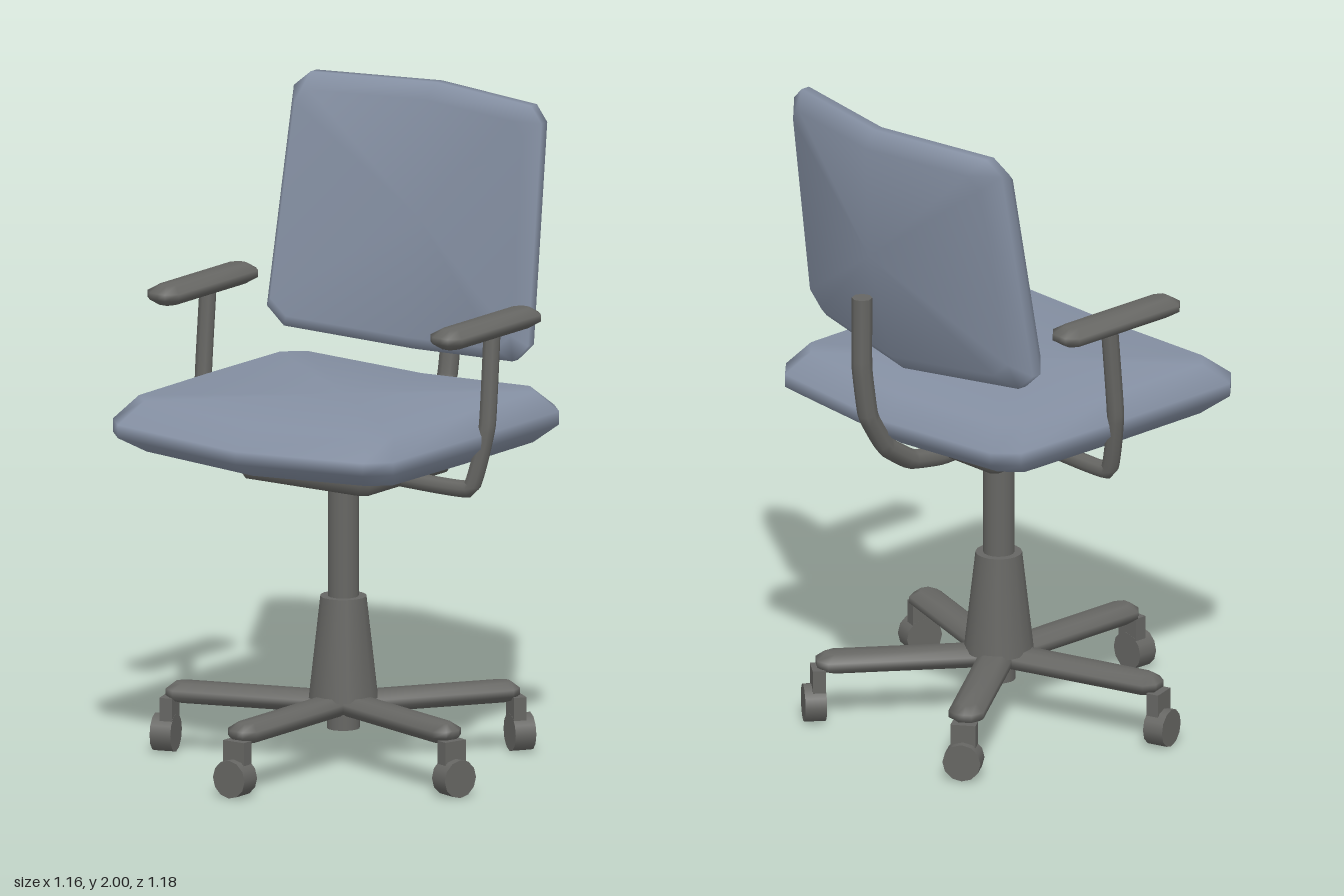
import * as THREE from 'three';

const fabric = new THREE.MeshStandardMaterial({ color: 0x8590a3 });
const metal = new THREE.MeshStandardMaterial({ color: 0x666663 });

function part(name, geometry, material, parent, x = 0, y = 0, z = 0) {
  const mesh = new THREE.Mesh(geometry, material);
  mesh.name = name;
  mesh.position.set(x, y, z);
  parent.add(mesh);
  return mesh;
}

// Stack of scaled outlines [x, z] along y, closed by fans; layer = [y, scaleX, scaleZ].
// bend(x, y, z) moves every point; caps = height added at the bottom and top centres.
function padGeometry(outline, layers, bend = (x, y, z) => [x, y, z], caps = [0, 0]) {
  const n = outline.length, pos = [], index = [];
  for (const [y, sx, sz] of layers)
    for (const [x, z] of outline) pos.push(...bend(x * sx, y, z * sz));
  const last = layers.length - 1;
  pos.push(...bend(0, layers[0][0] + caps[0], 0), ...bend(0, layers[last][0] + caps[1], 0));
  const bottom = n * layers.length, top = bottom + 1;
  for (let j = 0; j < n; j++) {
    const k = (j + 1) % n;
    for (let i = 0; i < last; i++) {
      const a = i * n + j, b = i * n + k;
      index.push(a, b, b + n, a, b + n, a + n);
    }
    index.push(bottom, k, j, top, last * n + j, last * n + k);
  }
  const g = new THREE.BufferGeometry();
  g.setAttribute('position', new THREE.Float32BufferAttribute(pos, 3));
  g.setIndex(index);
  g.computeVertexNormals();
  return g;
}

// Mirror the +x half of an outline (front to back) with points on the centre line.
const mirrored = (front, half, back) => [
  [0, front], ...half, [0, back], ...[...half].reverse().map(([x, z]) => [-x, z])];

// Bar or plate with cut corners and bevelled edges, centred on its own origin.
function barGeometry(w, h, d, cut, bevel) {
  const x = w / 2, z = d / 2;
  const outline = mirrored(z, [[x - cut, z], [x, z - cut], [x, cut - z], [x - cut, -z]], -z);
  const sx = 1 - bevel / x, sz = 1 - bevel / z;
  return padGeometry(outline, [[-h / 2, sx, sz], [-h / 6, 1, 1], [h / 6, 1, 1], [h / 2, sx, sz]]);
}

function tubeGeometry(points, radius, segments) {
  const curve = new THREE.CatmullRomCurve3(
    points.map(p => new THREE.Vector3(...p)), false, 'catmullrom', 0.15);
  return new THREE.TubeGeometry(curve, segments, radius, 8);
}

function cap(name, point, direction, radius, parent) {
  const disc = part(name, new THREE.CircleGeometry(radius, 8), metal, parent, ...point);
  disc.lookAt(new THREE.Vector3(...point).add(new THREE.Vector3(...direction)));
}

export function createModel() {
  const chair = new THREE.Group();
  chair.name = 'officeChair';

  // Seat cushion, sagging slightly at the centre line
  const seatOutline = mirrored(0.555,
    [[0.45, 0.53], [0.515, 0.465], [0.52, 0.03], [0.515, -0.39], [0.45, -0.455]], -0.475);
  part('seat', padGeometry(seatOutline,
    [[0.985, 0.9, 0.84], [1.035, 1, 1], [1.075, 1, 1], [1.14, 0.91, 0.85]],
    (x, y, z) => [x, y - 0.018 * Math.max(0, 1 - Math.abs(x) / 0.42), z], [-0.012, 0.012]),
  fabric, chair);

  // Backrest: leaning, with both wings angled forwards
  const backOutline = mirrored(0.395,
    [[0.42, 0.365], [0.48, 0.31], [0.455, -0.35], [0.405, -0.395]], -0.4);
  part('backrest', padGeometry(backOutline,
    [[-0.06, 0.9, 0.87], [-0.015, 1, 1], [0.015, 1, 1], [0.065, 0.92, 0.89]],
    (x, y, z) => [x, 1.6 - z,
      y - 0.35 + 0.15 * z - 0.085 * (1 - Math.abs(x) / 0.43)], [-0.038, -0.02]),
  fabric, chair);

  // Curved tube carrying the backrest
  const spine = [[0, 0.895, -0.1], [0, 0.885, -0.24], [0, 0.905, -0.36], [0, 0.975, -0.465],
    [0, 1.09, -0.535], [0, 1.25, -0.56], [0, 1.475, -0.56]];
  part('backSupport', tubeGeometry(spine, 0.031, 36), metal, chair);
  cap('backSupportEnd', spine[6], [0, 1, 0], 0.031, chair);
  cap('backSupportStart', spine[0], [0, 0, 1], 0.031, chair);

  // Mechanism plate under the seat
  part('seatPlate', barGeometry(0.48, 0.075, 0.465, 0.02, 0.012), metal, chair, 0, 0.922, -0.012);

  // Armrests, mirrored
  for (const s of [1, -1]) {
    const arm = new THREE.Group();
    arm.name = s > 0 ? 'leftArmrest' : 'rightArmrest';
    chair.add(arm);
    part('armPad', barGeometry(0.116, 0.06, 0.468, 0.03, 0.03), metal, arm, s * 0.52, 1.402, -0.005);
    part('armTube', tubeGeometry([[s * 0.522, 1.39, -0.035], [s * 0.522, 1.1, -0.01],
      [s * 0.472, 0.905, 0.008], [s * 0.2, 0.905, 0.008]], 0.026, 40), metal, arm);
  }

  // Column
  part('gasColumn', new THREE.CylinderGeometry(0.047, 0.047, 0.4, 16), metal, chair, 0, 0.7, 0);
  part('columnCover', new THREE.CylinderGeometry(0.07, 0.105, 0.31, 16), metal, chair, 0, 0.36, 0);
  part('hub', new THREE.CylinderGeometry(0.05, 0.05, 0.1, 16), metal, chair, 0, 0.16, 0);

  // Five-star base with casters; one leg points to the front
  for (let i = 0; i < 5; i++) {
    const leg = new THREE.Group();
    leg.name = `baseLeg${i + 1}`;
    leg.rotation.y = (i * Math.PI * 2) / 5;
    chair.add(leg);
    part('legBar', barGeometry(0.106, 0.06, 0.55, 0.03, 0.025), metal, leg, 0, 0.187, 0.275);
    part('casterStem', new THREE.BoxGeometry(0.076, 0.08, 0.04), metal, leg, 0, 0.13, 0.545);
    part('casterWheel', new THREE.CylinderGeometry(0.058, 0.058, 0.065, 12).rotateX(Math.PI / 2),
      metal, leg, 0, 0.058, 0.557);
  }
  return chair;
}
